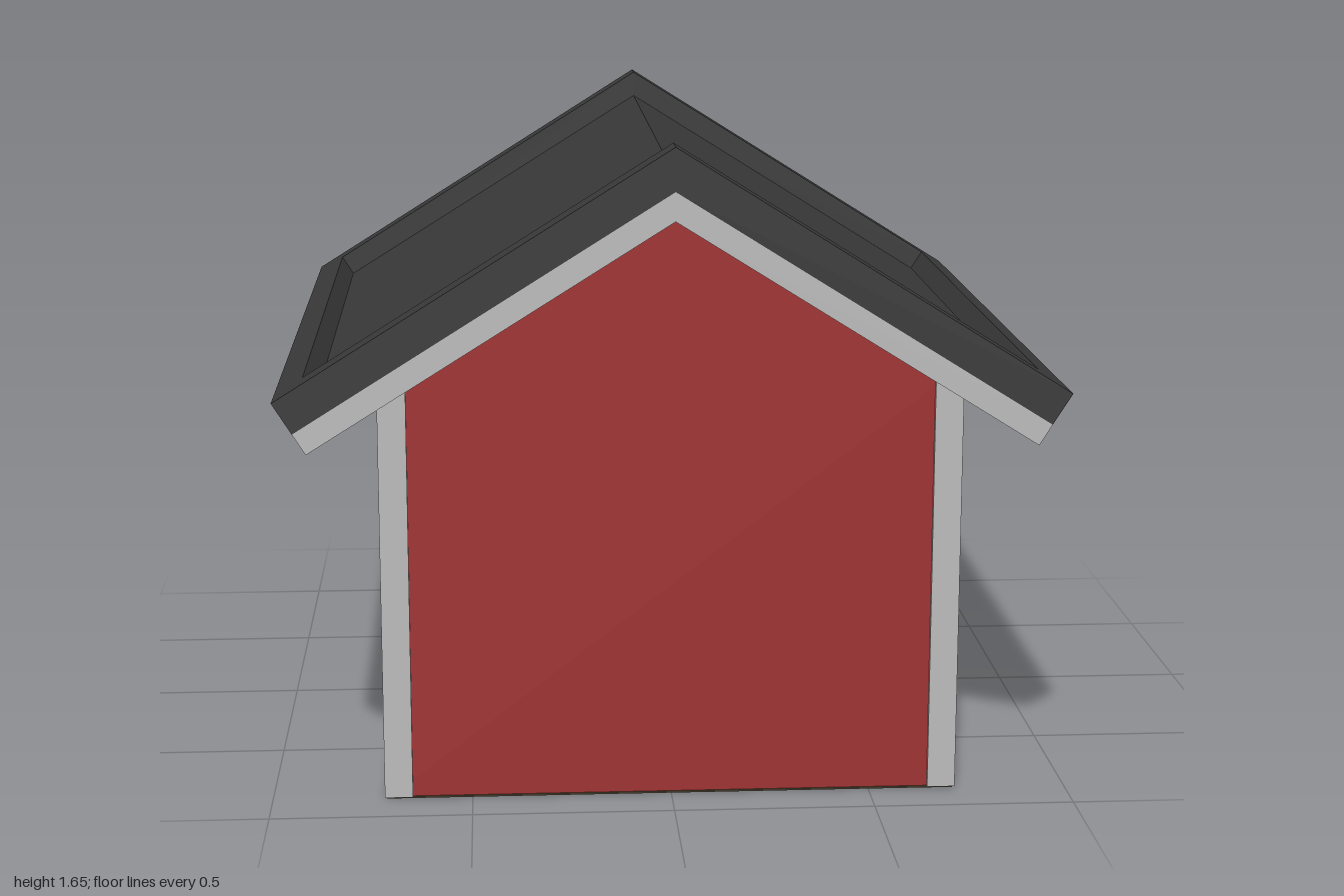
import * as THREE from 'three';

const mat = (name, color) => {
  const m = new THREE.MeshStandardMaterial({ color });
  m.name = name;
  return m;
};

export function createModel() {
  const house = new THREE.Group();
  house.name = 'house';
  const red = mat('red siding', 0x9e3131);
  const white = mat('pale trim', 0xbababa);
  const dark = mat('dark roofing', 0x393939);
  const beige = mat('beige lining', 0xdcce93);
  const wood = mat('floor wood', 0x9e8156);
  const brown = mat('dark base', 0x4f4632);

  const add = (parent, name, geo, m, x = 0, y = 0, z = 0) => {
    const mesh = new THREE.Mesh(geo, m);
    mesh.name = name;
    mesh.position.set(x, y, z);
    parent.add(mesh);
    return mesh;
  };
  const box = (parent, name, m, w, h, d, x, y, z) =>
    add(parent, name, new THREE.BoxGeometry(w, h, d), m, x, y, z);
  const poly = (pts) => new THREE.Shape(pts.map(([x, y]) => new THREE.Vector2(x, y)));
  const rect = (x0, y0, x1, y1) => poly([[x0, y0], [x1, y0], [x1, y1], [x0, y1]]);
  const extrude = (shape, depth, holes = []) => {
    shape.holes.push(...holes);
    return new THREE.ExtrudeGeometry(shape, { depth, bevelEnabled: false });
  };

  // Roof slope frame: l runs down the slope, d runs into the roof
  const RIDGE = 1.65, C = 0.847, S = 0.531, LEN = 0.965 / C;
  const onSlope = (l, d, side = 1) => [side * (l * C - d * S), RIDGE - l * S - d * C];
  const chevron = (d0, d1, l) => poly([
    onSlope(l, d0), [0, RIDGE - d0 / C], onSlope(l, d0, -1),
    onSlope(l, d1, -1), [0, RIDGE - d1 / C], onSlope(l, d1),
  ]);
  const edgeStrip = (l0, l1, d0, d1, side) => poly([
    onSlope(l0, d0, side), onSlope(l1, d0, side), onSlope(l1, d1, side), onSlope(l0, d1, side),
  ]);
  const gable = (w, d) => {
    const y = RIDGE - d / C;
    return poly([[-w, 0], [w, 0], [w, y - w * S / C], [0, y], [-w, y - w * S / C]]);
  };

  // Base and floor
  box(house, 'base', brown, 1.43, 0.004, 1.75, 0, 0.002, 0);
  box(house, 'floor', wood, 1.3, 0.065, 1.62, 0, 0.0375, 0);

  // Gable walls, the back one with a doorway
  const door = () => rect(-0.185, 0.07, 0.185, 0.71);
  add(house, 'frontWall', extrude(gable(0.71, 0.1), 0.06), red, 0, 0, 0.81);
  add(house, 'backWall', extrude(gable(0.71, 0.1), 0.06, [door()]), red, 0, 0, -0.87);
  add(house, 'frontLining', extrude(gable(0.65, 0.16), 0.01), beige, 0, 0.006, 0.8);
  add(house, 'backLining', extrude(gable(0.65, 0.16), 0.01, [door()]), beige, 0, 0.006, -0.81);

  // Side walls, the left one with two windows
  const winZ = [0.365, -0.32], winY = 0.51, W = 0.39, H = 0.47;
  const winHoles = () => winZ.map((z) =>
    rect(z - W / 2 + 0.015, winY - H / 2 + 0.015, z + W / 2 - 0.015, winY + H / 2 - 0.015));
  const sideWall = (name, m, outerX, t, halfZ, h, holes) => {
    const g = extrude(rect(-halfZ, 0.006, halfZ, h), t, holes);
    g.rotateY(-Math.PI / 2);
    add(house, name, g, m, outerX);
  };
  sideWall('leftWall', red, 0.71, 0.06, 0.81, 1.07, winHoles());
  sideWall('rightWall', red, -0.65, 0.06, 0.81, 1.07, []);
  sideWall('leftLining', beige, 0.65, 0.01, 0.8, 1.04, winHoles());
  sideWall('rightLining', beige, -0.64, 0.01, 0.8, 1.04, []);

  // Skirting and corner boards
  for (const sx of [1, -1]) {
    box(house, 'skirting', brown, 0.012, 0.035, 1.6, sx * 0.634, 0.087, 0);
    for (const sz of [1, -1])
      box(house, 'cornerBoard', white, 0.07, 1.076, 0.07, sx * 0.685, 0.542, sz * 0.846);
  }

  // Windows: stepped frame with a cross of glazing bars
  const frame = (w, h, t, depth) => {
    const g = extrude(rect(-w / 2, -h / 2, w / 2, h / 2), depth,
      [rect(-w / 2 + t, -h / 2 + t, w / 2 - t, h / 2 - t)]);
    g.rotateY(-Math.PI / 2);
    return g;
  };
  for (const z of winZ) {
    const win = new THREE.Group();
    win.name = 'window';
    win.position.set(0, winY, z);
    add(win, 'casing', frame(W, H, 0.024, 0.09), white, 0.73);
    add(win, 'sash', frame(W - 0.046, H - 0.046, 0.016, 0.05), white, 0.715);
    box(win, 'uprightBar', white, 0.03, H - 0.07, 0.016, 0.69, 0, 0);
    box(win, 'crossBar', white, 0.03, 0.016, W - 0.07, 0.69, 0, 0);
    house.add(win);
  }

  // Roof: recessed panels inside a raised rim, pale fascia below
  const roof = new THREE.Group();
  roof.name = 'roof';
  house.add(roof);
  add(roof, 'roofPanels', extrude(chevron(0.06, 0.147, LEN - 0.015), 1.97), dark, 0, 0, -0.985);
  add(roof, 'ceiling', extrude(chevron(0.14, 0.2, 0.885), 1.62), beige, 0, 0, -0.81);
  for (const z of [-1, 0.91])
    add(roof, 'gableRim', extrude(chevron(0, 0.09, LEN), 0.09), dark, 0, 0, z);
  for (const z of [-1, 0.985])
    add(roof, 'gableFascia', extrude(chevron(0.09, 0.15, LEN), 0.015), white, 0, 0, z);
  for (const side of [1, -1]) {
    add(roof, 'eaveRim', extrude(edgeStrip(LEN - 0.083, LEN, 0, 0.09, side), 1.82), dark, 0, 0, -0.91);
    add(roof, 'eaveFascia', extrude(edgeStrip(LEN - 0.015, LEN, 0.09, 0.15, side), 1.97), white, 0, 0, -0.985);
  }
  return house;
}
